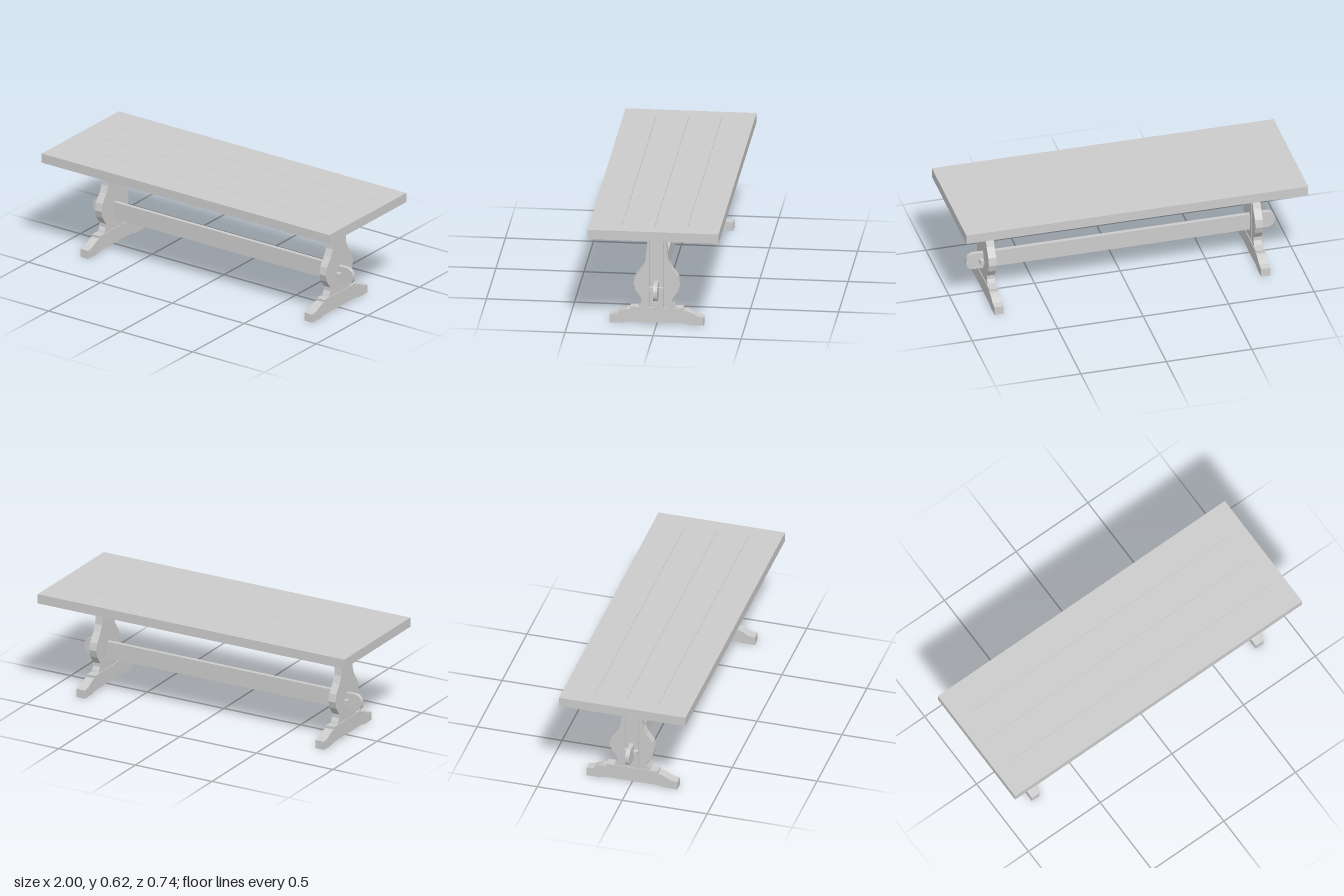
import * as THREE from 'three';

const material = new THREE.MeshStandardMaterial({ color: 0xcccccc, flatShading: true });

function add(parent, name, geometry, x = 0, y = 0, z = 0) {
  const mesh = new THREE.Mesh(geometry, material);
  mesh.name = name;
  mesh.position.set(x, y, z);
  parent.add(mesh);
  return mesh;
}

// Cuts a board from a side outline of [z, y] points, with its thickness centred on x.
function sideBoard(points, thickness) {
  const shape = new THREE.Shape(points.map(([z, y]) => new THREE.Vector2(-z, y)));
  const geometry = new THREE.ExtrudeGeometry(shape, { depth: thickness, bevelEnabled: false });
  return geometry.translate(0, 0, -thickness / 2).rotateY(Math.PI / 2);
}

const mirror = (points) => points.map(([z, y]) => [-z, y]).reverse();

export function createModel() {
  const table = new THREE.Group();
  table.name = 'trestleTable';

  // Table top: four planks between two end boards, with hairline seams
  const top = new THREE.Group();
  top.name = 'tableTop';
  table.add(top);
  const bottomY = 0.567, topY = 0.623, depth = 0.744, seam = 0.0015, endX = 0.91;
  const thick = topY - bottomY, midY = (topY + bottomY) / 2;
  const pitch = depth / 4;
  for (let i = 0; i < 4; i++) {
    const outer = i === 0 || i === 3;
    const width = pitch - (outer ? seam / 2 : seam);
    const shift = outer ? Math.sign(i - 1.5) * seam / 4 : 0;
    add(top, 'plank', new THREE.BoxGeometry(endX * 2, thick, width), 0, midY, (i - 1.5) * pitch + shift);
  }
  for (const s of [-1, 1]) {
    add(top, 'endBoard', new THREE.BoxGeometry(1 - endX, thick, depth), s * (1 + endX) / 2, midY, 0);
  }

  // Half outlines of the trestle, mirrored front to back
  const legEdge = [
    [0.105, 0.098], [0.101, 0.108], [0.088, 0.13], [0.087, 0.152], [0.12, 0.198], [0.132, 0.24],
    [0.122, 0.285], [0.084, 0.337], [0.065, 0.378], [0.054, 0.485], [0.048, bottomY],
  ];
  const legSide = [[0.041, 0.098], ...legEdge, [0.041, bottomY]];
  const footEdge = [
    [0.152, 0.01], [0.183, 0.002], [0.19, 0], [0.267, 0], [0.267, 0.049], [0.228, 0.055],
    [0.2, 0.072], [0.172, 0.084], [0.152, 0.085], [0.152, 0.099],
  ];

  // Trestles: foot, centre post, two shaped cheeks and a locking peg
  for (const s of [-1, 1]) {
    const trestle = new THREE.Group();
    trestle.name = s > 0 ? 'leftTrestle' : 'rightTrestle';
    trestle.position.x = s * 0.78;
    table.add(trestle);
    add(trestle, 'foot', sideBoard([...footEdge, ...mirror(footEdge)], 0.054));
    add(trestle, 'post', new THREE.BoxGeometry(0.046, bottomY - 0.098, 0.078), 0, (bottomY + 0.098) / 2, 0);
    add(trestle, 'frontCheek', sideBoard(legSide, 0.046));
    add(trestle, 'backCheek', sideBoard(mirror(legSide), 0.046));
    add(trestle, 'peg', new THREE.BoxGeometry(0.024, 0.024, 0.08), s * 0.036, 0.212, 0);
  }

  // Stretcher with rounded ends, passing through both trestles
  const L = 0.903, y0 = 0.16, y1 = 0.26, r = 0.044;
  const bar = new THREE.Shape();
  bar.moveTo(-L + r, y0);
  bar.lineTo(L - r, y0);
  bar.absarc(L - r, y0 + r, r, -Math.PI / 2, 0);
  bar.absarc(L - r, y1 - r, r, 0, Math.PI / 2);
  bar.absarc(-L + r, y1 - r, r, Math.PI / 2, Math.PI);
  bar.absarc(-L + r, y0 + r, r, Math.PI, Math.PI * 1.5);
  const stretcher = new THREE.ExtrudeGeometry(bar, { depth: 0.024, bevelEnabled: false, curveSegments: 6 });
  add(table, 'stretcher', stretcher, 0, 0, -0.012);

  return table;
}
